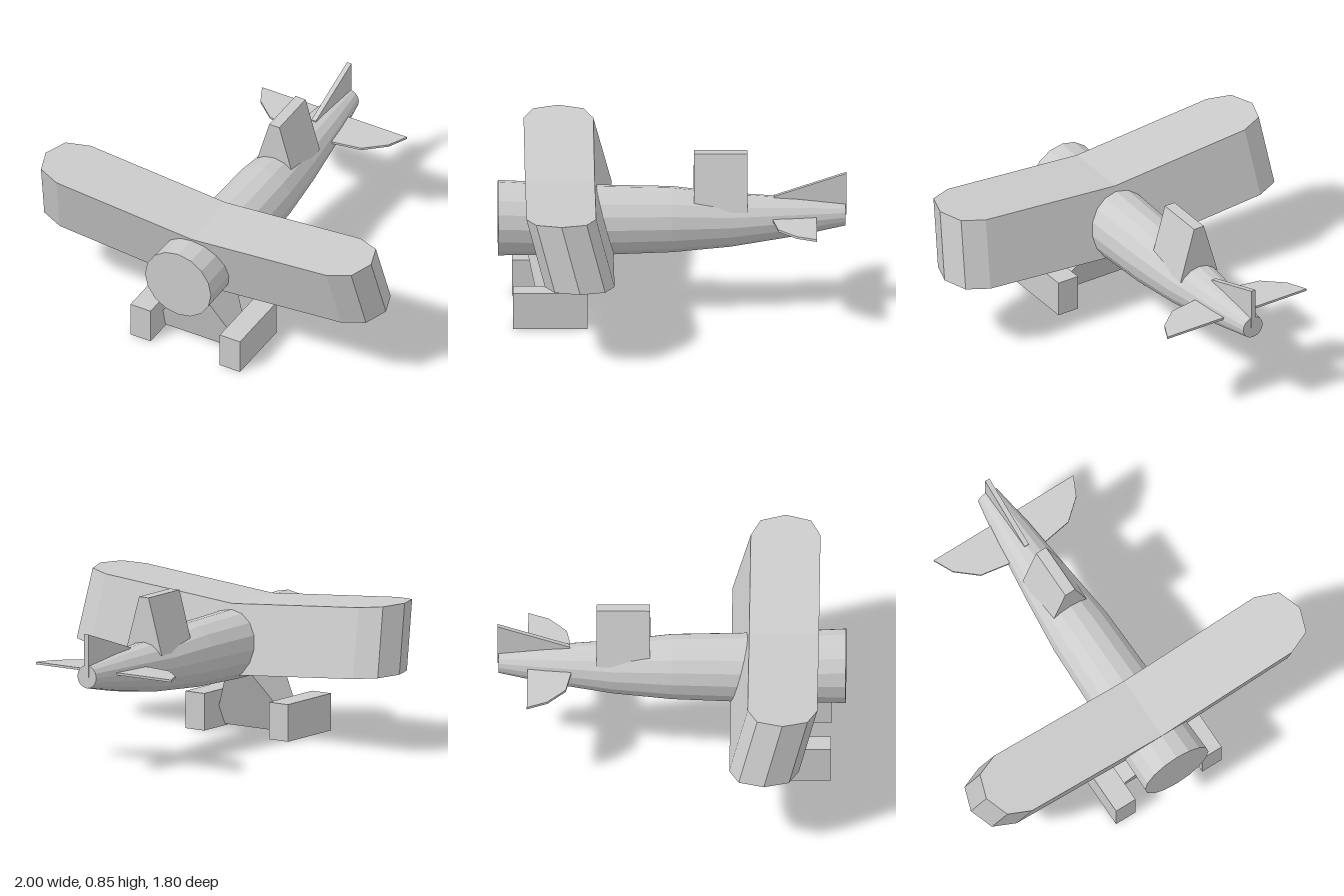
import * as THREE from 'three';
import { ConvexGeometry } from 'three/addons/geometries/ConvexGeometry.js';

const material = new THREE.MeshStandardMaterial({ color: 0xcccccc, flatShading: true });

function add(parent, name, geometry) {
  const mesh = new THREE.Mesh(geometry, material);
  mesh.name = name;
  parent.add(mesh);
  return mesh;
}

// Convex solid from [x, y, z] corners
const hull = (points) => new ConvexGeometry(points.map((p) => new THREE.Vector3(...p)));

// Corners of a rectangle lying at height y
const level = (y, halfWidth, z0, z1) =>
  [[-halfWidth, y, z0], [halfWidth, y, z0], [halfWidth, y, z1], [-halfWidth, y, z1]];

// Sixteen-sided tapering body; each section is [z, centre y, radius], nose first
function fuselageGeometry() {
  const sections = [
    [0.9, 0.5, 0.195], [0.35, 0.487, 0.181], [0, 0.489, 0.171],
    [-0.3, 0.485, 0.14], [-0.65, 0.502, 0.1], [-0.895, 0.515, 0.06],
  ];
  const steps = sections.length - 1;
  const geometry = new THREE.CylinderGeometry(1, 1, 1, 16, steps).rotateX(Math.PI / 2);
  const pos = geometry.attributes.position;
  for (let i = 0; i < pos.count; i++) {
    const [z, cy, r] = sections[Math.round((0.5 - pos.getZ(i)) * steps)];
    pos.setXYZ(i, pos.getX(i) * r, cy + pos.getY(i) * r, z);
  }
  const flat = geometry.toNonIndexed();
  flat.computeVertexNormals();
  return flat;
}

// Half wing: rising toward the tip, with the underside set back and leaning out
function wingGeometry(side) {
  const outline = [[0, 0.76], [0.8, 0.76], [0.92, 0.71], [0.965, 0.58],
    [0.92, 0.45], [0.8, 0.4], [0, 0.4]];
  const points = [];
  for (const [x, z] of outline) {
    const xLow = x > 0 ? x + 0.034 : 0;
    points.push([side * x, 0.7 + 0.083 * x, z]);
    points.push([side * xLow, 0.34 + 0.083 * xLow, z - 0.095]);
  }
  return hull(points);
}

// Half tailplane: thin plate with a clipped leading edge
function tailplaneGeometry(side) {
  const outline = [[0, -0.745], [0.43, -0.745], [0.38, -0.64], [0.27, -0.545], [0.12, -0.52], [0, -0.51]];
  return hull(outline.flatMap(([x, z]) => [[side * x, 0.511, z], [side * x, 0.523, z]]));
}

export function createModel() {
  const model = new THREE.Group();
  model.name = 'aeroplane';

  add(model, 'fuselage', fuselageGeometry());

  for (const [label, side] of [['left', 1], ['right', -1]]) {
    add(model, label + 'Wing', wingGeometry(side));
    add(model, label + 'Tailplane', tailplaneGeometry(side));
    const float = add(model, label + 'Float', new THREE.BoxGeometry(0.12, 0.195, 0.385));
    float.position.set(side * 0.265, 0.1, 0.632);
  }

  // Tapered strut between the floats
  add(model, 'undercarriageStrut',
    hull([...level(0.01, 0.268, 0.624, 0.669), ...level(0.36, 0.059, 0.442, 0.754)]));

  // Cabin block behind the wing
  add(model, 'cabin',
    hull([...level(0.56, 0.114, -0.388, -0.112), ...level(0.855, 0.03, -0.388, -0.112)]));

  // Upright triangular tail fin
  const finProfile = [[-0.525, 0.615], [-0.9, 0.74], [-0.9, 0.515], [-0.525, 0.52]];
  add(model, 'tailFin',
    hull(finProfile.flatMap(([z, y]) => [[-0.013, y, z], [0.013, y, z]])));

  return model;
}
